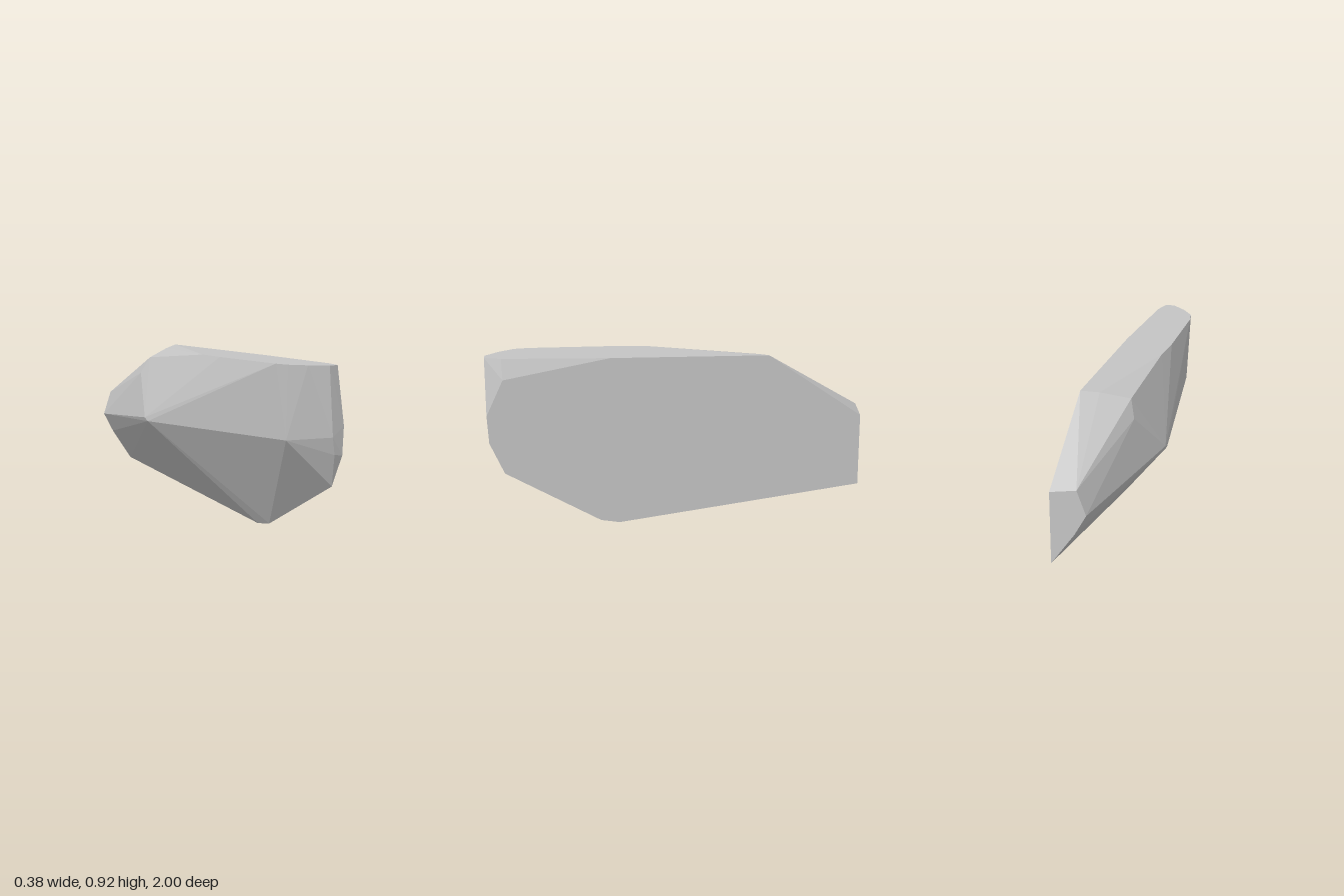
import * as THREE from 'three';
import { ConvexGeometry } from 'three/addons/geometries/ConvexGeometry.js';

export function createModel() {
  const group = new THREE.Group();
  group.name = 'facetedShard';
  const grey = new THREE.MeshStandardMaterial({ color: 0xc4c4c4, flatShading: true });
  grey.name = 'pale grey';

  const side = 0.19, top = 0.92;
  // Flat side outline as [y, z]
  const flatSide = [
    [top, 0.34], [top, -0.5], [0.58, -1], [0.19, -1], [0, 0.3], [0.015, 0.4],
    [0.295, 0.91], [0.465, 0.987], [0.615, 0.996], [0.81, 0.905],
  ].map(([y, z]) => new THREE.Vector3(side, y, z));
  // Flat top outline as [x, z]
  const flatTop = [
    [0.165, 0.91], [0.14, 1], [0.09, 1], [0.01, 0.93], [-0.05, 0.85],
    [-0.065, 0.77], [-0.075, 0.31], [-0.065, 0.14],
  ].map(([x, z]) => new THREE.Vector3(x, top, z));
  // Flat back end as [x, y]
  const flatBack = [[0.05, 0.605], [0.003, 0.475], [0.065, 0.365]]
    .map(([x, y]) => new THREE.Vector3(x, y, -1));
  // Corners of the bulging side, rear slope and nose
  const corners = [
    [-0.19, 0.55, -0.24], [-0.19, 0.532, -0.21],
    [-0.08, 0.775, -0.45], [-0.05, 0.865, -0.4], [0.1, 0.905, -0.46],
    [-0.035, 0.538, 0.82], [0.125, 0.56, 0.99], [0.15, 0.468, 0.975],
  ].map((p) => new THREE.Vector3(...p));

  const body = new THREE.Mesh(
    new ConvexGeometry([...flatSide, ...flatTop, ...flatBack, ...corners]), grey);
  body.name = 'shardBody';
  group.add(body);
  return group;
}
